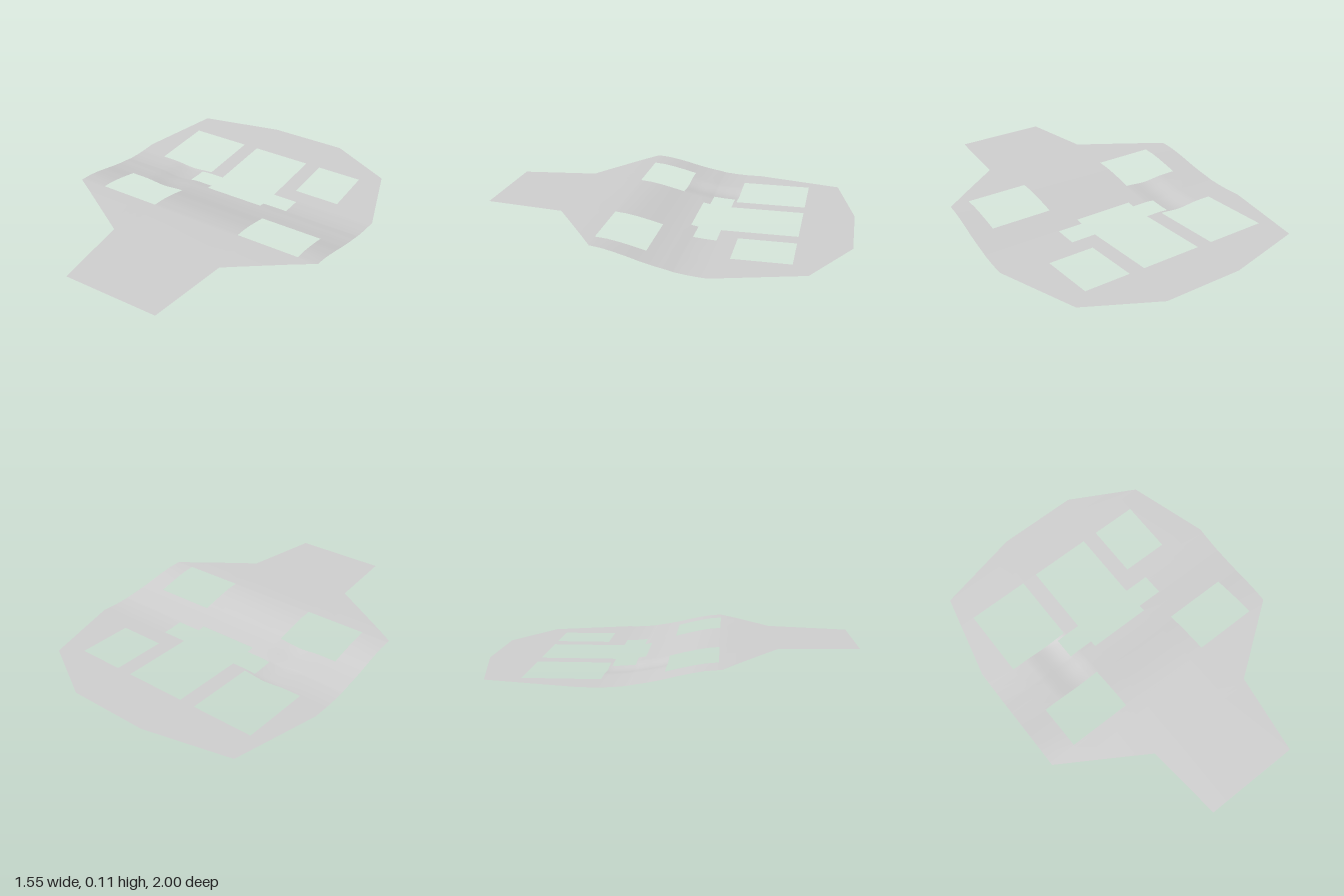
import * as THREE from 'three';
import { mergeVertices } from 'three/addons/utils/BufferGeometryUtils.js';

// Piecewise-linear lookup through [key, value] points
function lookup(points, k) {
  for (let i = 1; i < points.length; i++) {
    const [a, va] = points[i - 1], [b, vb] = points[i];
    if (k <= b + 1e-9) return va + (vb - va) * (k - a) / (b - a);
  }
  return points[points.length - 1][1];
}

// Outline: x of each side along z
const leftSide = [[-1, -0.19], [-0.89, -0.67], [-0.4, -0.78], [0.28, -0.78], [0.57, -0.315], [1, -0.27]];
const rightSide = [[-1, 0.27], [-0.8, 0.64], [-0.34, 0.775], [0.26, 0.73], [0.55, 0.33], [1, 0.265]];

// Rectangular cut-outs: x0, x1, z0, z1
const holes = [
  [-0.625, -0.27, -0.715, -0.315],
  [-0.18, 0.175, -0.715, -0.135],
  [-0.325, 0.32, -0.3, -0.175],
  [0.265, 0.53, -0.715, -0.405],
  [-0.625, -0.27, 0, 0.265],
  [0.265, 0.62, 0, 0.265],
];

// Height along z: low flat back, gentle ramp, raised front
const profile = [[-1, 0.012], [-0.3, 0.012], [-0.24, 0.015], [-0.175, 0.021], [-0.135, 0.029], [-0.07, 0.04],
  [0, 0.055], [0.07, 0.073], [0.14, 0.089], [0.2, 0.1], [0.265, 0.106], [0.35, 0.109], [0.5, 0.11], [1, 0.105]];

// Shallow dent beside the central cut-out
function dent(x, z) {
  const u = (x + 0.4) / 0.14, v = (z + 0.16) / 0.24;
  if (Math.abs(u) >= 1 || Math.abs(v) >= 1) return 0;
  return 0.012 * (0.5 + 0.5 * Math.cos(Math.PI * u)) * Math.min(1, 2.5 * (1 - Math.abs(v)));
}

const sorted = (values) => [...new Set(values)].sort((a, b) => a - b);

function sheetGeometry() {
  const dentX = [], dentZ = [];
  for (let i = 0; i <= 10; i++) dentX.push(-0.54 + i * 0.028);
  for (let i = 0; i <= 8; i++) dentZ.push(-0.4 + i * 0.06);
  const xs = sorted([...holes.flatMap((h) => [h[0], h[1]]), ...dentX]);
  const zs = sorted([...leftSide, ...rightSide, ...profile].map((p) => p[0])
    .concat(holes.flatMap((h) => [h[2], h[3]]), dentZ));
  const pos = [];
  const put = (x, z) => pos.push(x, Math.max(0, lookup(profile, z) - dent(x, z)), z);

  // Fill each strip between neighbouring z lines, skipping the cut-outs
  for (let j = 0; j + 1 < zs.length; j++) {
    const z0 = zs[j], z1 = zs[j + 1], zm = (z0 + z1) / 2;
    const l0 = lookup(leftSide, z0), l1 = lookup(leftSide, z1);
    const r0 = lookup(rightSide, z0), r1 = lookup(rightSide, z1);
    const inner = xs.filter((x) => x > Math.max(l0, l1) + 1e-4 && x < Math.min(r0, r1) - 1e-4);
    const back = [l0, ...inner, r0], front = [l1, ...inner, r1];
    for (let i = 0; i + 1 < back.length; i++) {
      const xm = (back[i] + back[i + 1] + front[i] + front[i + 1]) / 4;
      if (holes.some((h) => xm > h[0] && xm < h[1] && zm > h[2] && zm < h[3])) continue;
      put(back[i], z0); put(front[i], z1); put(front[i + 1], z1);
      put(back[i], z0); put(front[i + 1], z1); put(back[i + 1], z0);
    }
  }
  const raw = new THREE.BufferGeometry();
  raw.setAttribute('position', new THREE.Float32BufferAttribute(pos, 3));
  const geometry = mergeVertices(raw, 1e-5);
  geometry.computeVertexNormals();
  return geometry;
}

export function createModel() {
  const grey = new THREE.MeshStandardMaterial({ color: 0xcccccc, side: THREE.DoubleSide });
  grey.name = 'light grey';
  const sheet = new THREE.Mesh(sheetGeometry(), grey);
  sheet.name = 'curvedSheet';
  const group = new THREE.Group();
  group.name = 'cutOutSheet';
  group.add(sheet);
  return group;
}
